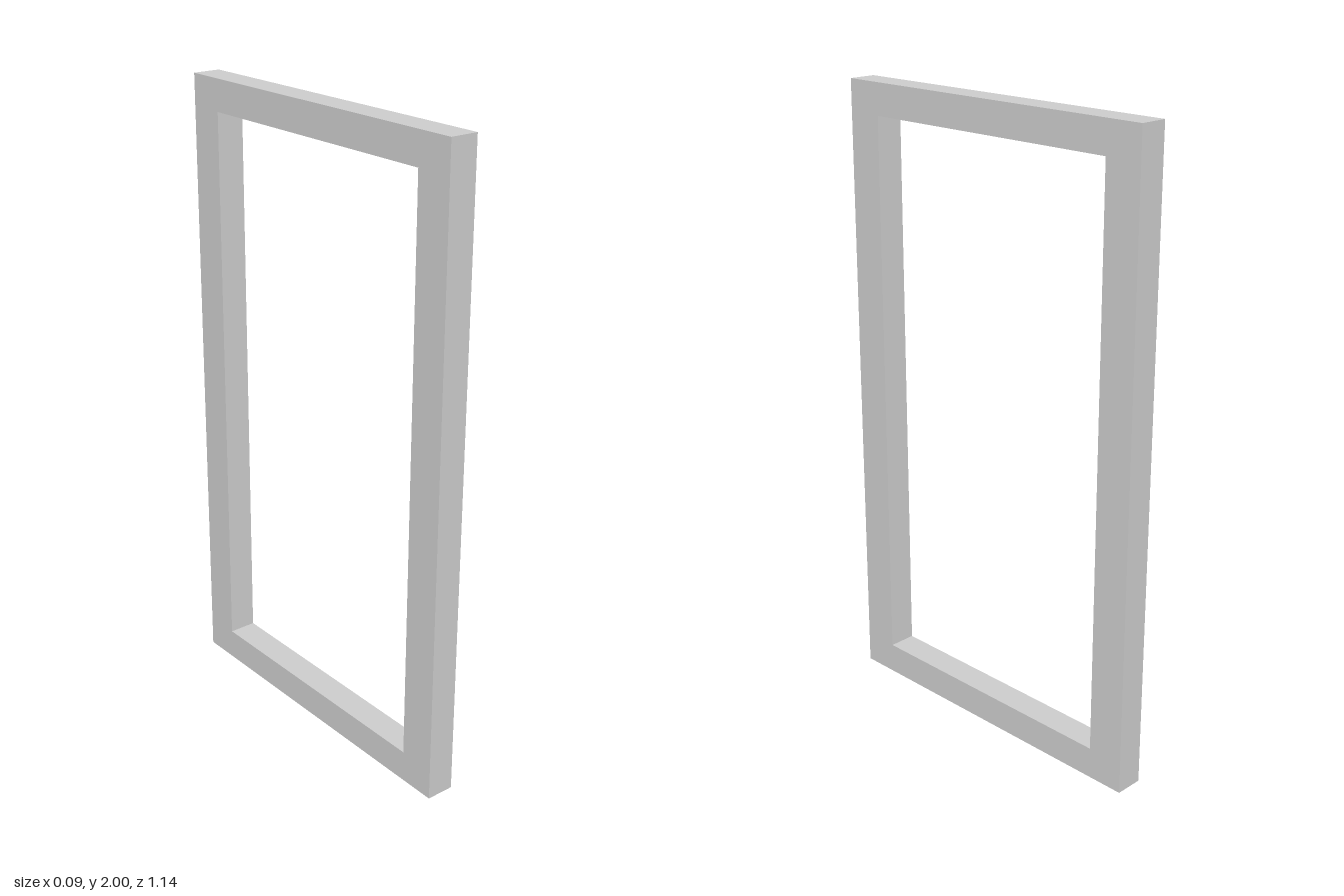
import * as THREE from 'three';

const HEIGHT = 2, WIDTH = 1.143, DEPTH = 0.09; // outer size
const STILE = 0.12, RAIL = 0.1; // upright and crossbar widths

// Traces a rectangle centred on x, from y0 to y1
function rectangle(path, width, y0, y1) {
  const h = width / 2;
  path.moveTo(-h, y0);
  path.lineTo(h, y0);
  path.lineTo(h, y1);
  path.lineTo(-h, y1);
  path.closePath();
  return path;
}

export function createModel() {
  const group = new THREE.Group();
  group.name = 'rectangularFrame';

  // Rectangular outline with one large opening
  const outline = rectangle(new THREE.Shape(), WIDTH, 0, HEIGHT);
  outline.holes.push(rectangle(new THREE.Path(), WIDTH - 2 * STILE, RAIL, HEIGHT - RAIL));

  // Extruded to depth, then turned so the opening faces along x
  const geometry = new THREE.ExtrudeGeometry(outline, { depth: DEPTH, bevelEnabled: false });
  geometry.translate(0, 0, -DEPTH / 2);
  geometry.rotateY(Math.PI / 2);

  const frame = new THREE.Mesh(
    geometry,
    new THREE.MeshStandardMaterial({ color: 0xcccccc, flatShading: true })
  );
  frame.name = 'frame';
  group.add(frame);
  return group;
}
